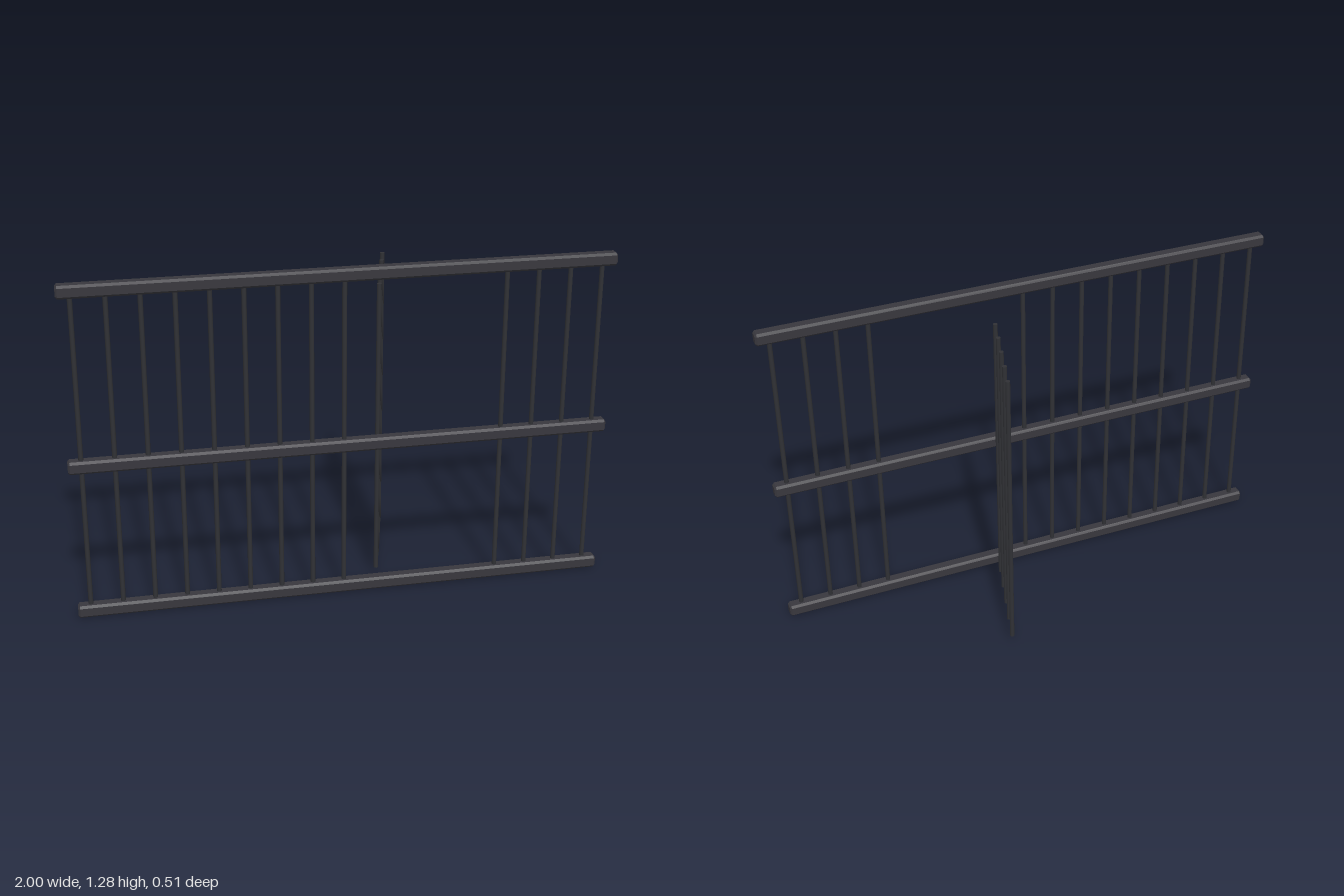
import * as THREE from 'three';

export function createModel() {
  const model = new THREE.Group();
  const railMat = new THREE.MeshStandardMaterial({ color: 0x38373d, flatShading: true });
  railMat.name = 'charcoal rail';
  const barMat = new THREE.MeshStandardMaterial({ color: 0x303135 });
  barMat.name = 'dark iron bar';

  const frontZ = 0.233;
  const half = 0.024, chamfer = 0.007;

  // Chamfered square rail running along x
  const s = half - chamfer, c = chamfer * 0.6;
  const section = new THREE.Shape([
    [s, -s + c], [s, s - c], [s - c, s], [-s + c, s],
    [-s, s - c], [-s, -s + c], [-s + c, -s], [s - c, -s],
  ].map(([x, y]) => new THREE.Vector2(x, y)));
  const railGeo = new THREE.ExtrudeGeometry(section, {
    depth: 2 - 2 * chamfer, bevelEnabled: true,
    bevelSize: chamfer, bevelThickness: chamfer, bevelSegments: 1,
  });
  railGeo.center();
  railGeo.rotateY(Math.PI / 2);

  [['bottomRail', half], ['middleRail', 0.602], ['topRail', 1.252]].forEach(([name, y]) => {
    const rail = new THREE.Mesh(railGeo, railMat);
    rail.name = name;
    rail.position.set(0, y, frontZ);
    model.add(rail);
  });

  // Upright round bars
  function addBar(name, x, z, y0, y1) {
    const bar = new THREE.Mesh(new THREE.CylinderGeometry(0.009, 0.009, y1 - y0, 8), barMat);
    bar.name = name;
    bar.position.set(x, (y0 + y1) / 2, z);
    model.add(bar);
  }

  // Fixed bars, with a gap where four are missing
  for (let i = 0; i < 17; i++) {
    if (i > 8 && i < 13) continue;
    addBar('fixedBar', -0.952 + i * 0.1188, frontZ, 0.027, 1.25);
  }

  // Swung-open row of bars behind the gap
  for (let i = 0; i < 5; i++) {
    addBar('openGateBar', 0.147 + i * 0.025, 0.131 - i * 0.095, 0.027, 1.177);
  }
  return model;
}
